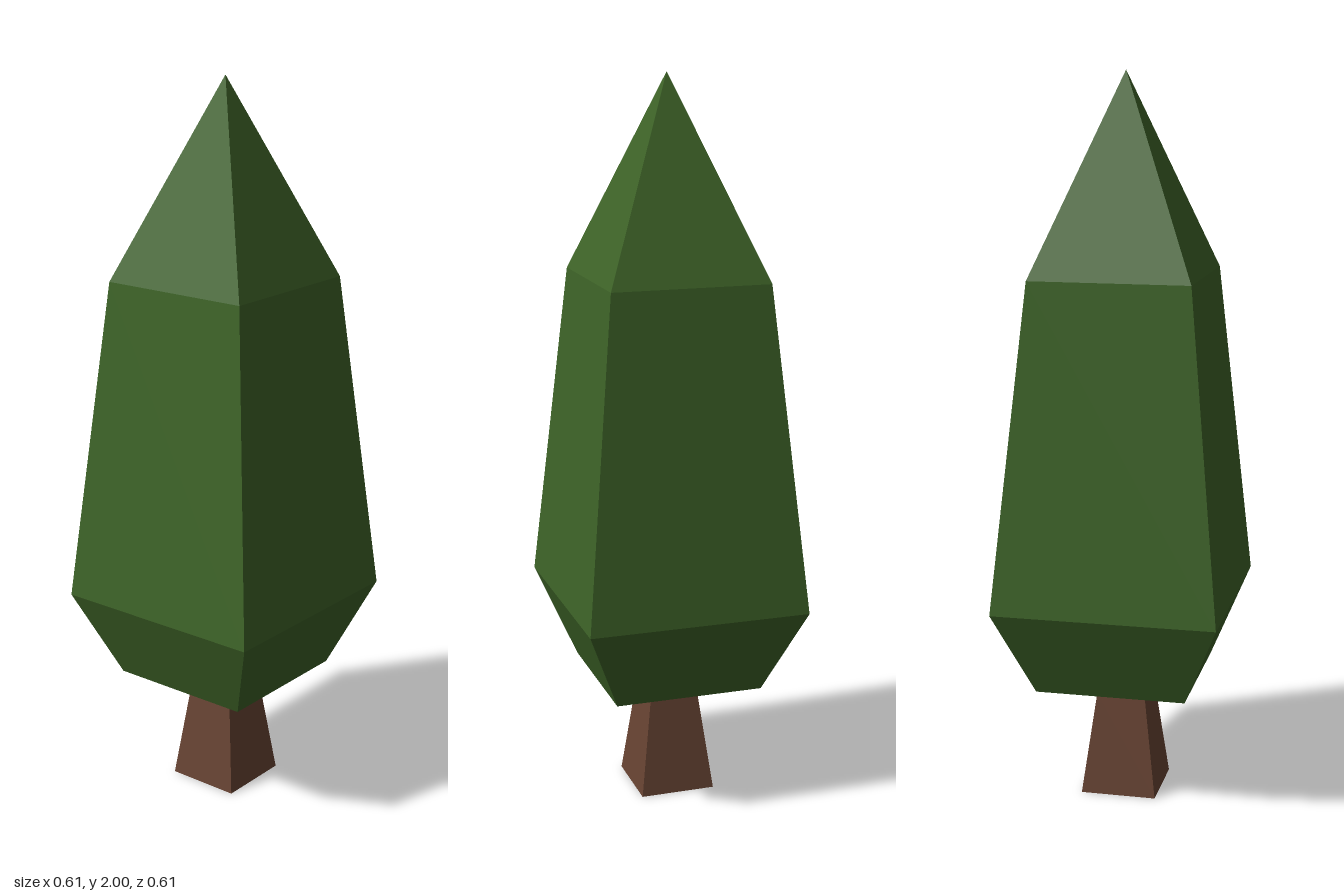
import * as THREE from 'three';

const bark = new THREE.MeshStandardMaterial({ color: 0x684433, flatShading: true, side: THREE.DoubleSide });
bark.name = 'bark brown';
const leaf = new THREE.MeshStandardMaterial({ color: 0x3e6428, flatShading: true });
leaf.name = 'leaf green';

// Square-section solid from [half width, height] pairs, listed bottom to top
function squareLathe(name, profile, material) {
  const points = profile.map(([half, y]) => new THREE.Vector2(half * Math.SQRT2, y));
  const geometry = new THREE.LatheGeometry(points, 4, Math.PI / 4).toNonIndexed();
  geometry.computeVertexNormals();
  const mesh = new THREE.Mesh(geometry, material);
  mesh.name = name;
  return mesh;
}

export function createModel() {
  const tree = new THREE.Group();
  tree.name = 'tree';

  // Tapered trunk, open at the foot
  tree.add(squareLathe('trunk', [[0.105, 0], [0.068, 0.285]], bark));

  // Faceted crown: underside, flare, long taper and pointed tip
  tree.add(squareLathe('foliage', [
    [0.068, 0.285], [0.207, 0.33], [0.307, 0.572], [0.219, 1.463], [0, 2],
  ], leaf));

  return tree;
}
